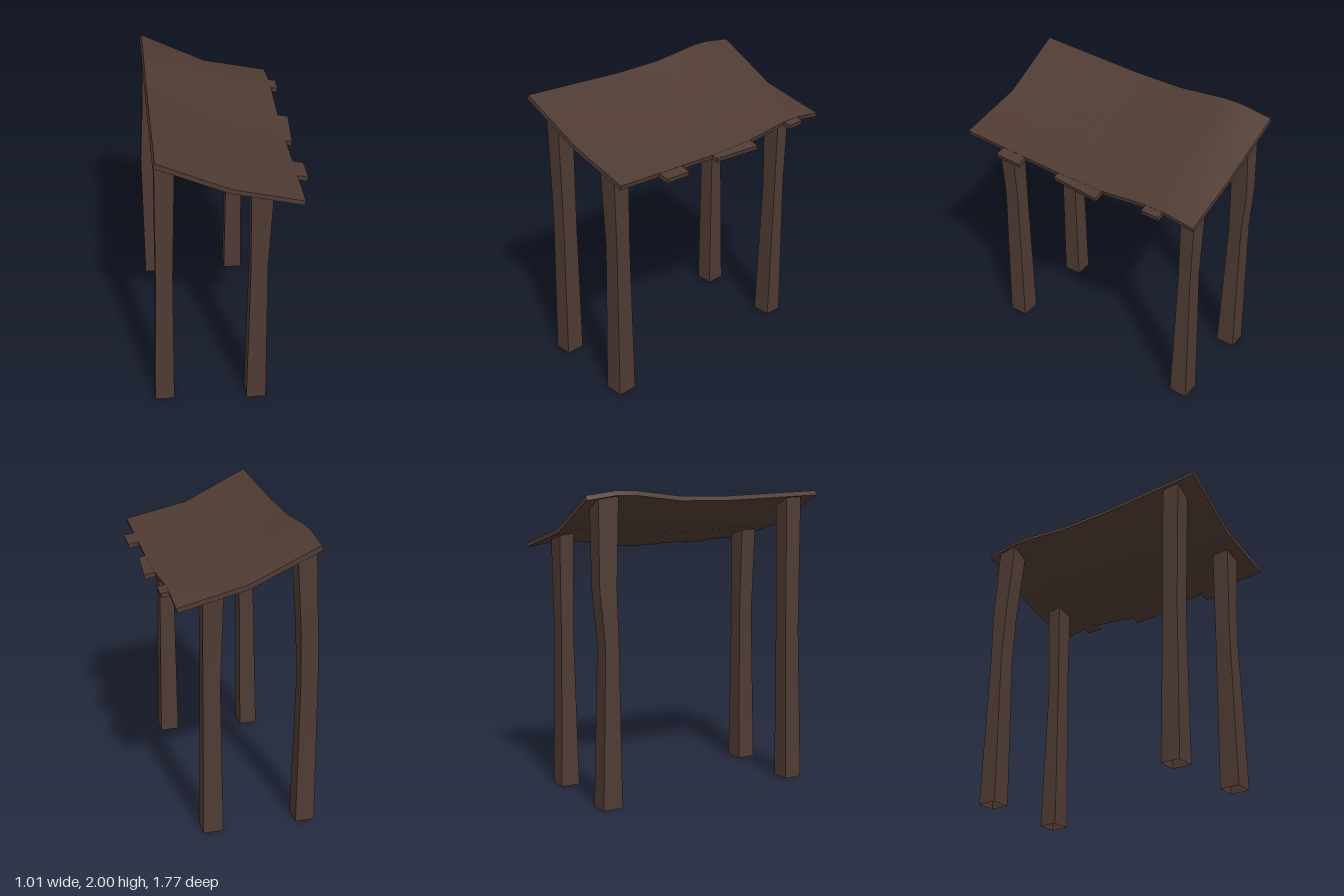
import * as THREE from 'three';
import { toCreasedNormals } from 'three/addons/utils/BufferGeometryUtils.js';

const THICK = 0.03;
// roof cross-section (x, y) and the sag of the roof along z
const PROFILE = [[-0.455, 2.0], [-0.01, 1.785], [0.435, 1.68]];
const SAG = [[-0.885, -0.03], [-0.68, 0], [-0.54, 0], [-0.21, -0.035], [0.15, -0.035], [0.89, 0]];

// piecewise linear lookup, extended past both ends
function lerpTable(table, v) {
  let i = 0;
  while (i < table.length - 2 && v > table[i + 1][0]) i++;
  const [a, b] = [table[i], table[i + 1]];
  return a[1] + (b[1] - a[1]) * (v - a[0]) / (b[0] - a[0]);
}
const roofTop = (x, z) => lerpTable(PROFILE, x) + lerpTable(SAG, z);

// joins matching closed sections with walls, optionally closing both ends
function loft(sections, capped) {
  const pos = [];
  const quad = (a, b, c, d) => pos.push(...a, ...b, ...c, ...a, ...c, ...d);
  const n = sections[0].length;
  for (let s = 0; s < sections.length - 1; s++) {
    const [a, b] = [sections[s], sections[s + 1]];
    for (let i = 0; i < n; i++) quad(a[i], a[(i + 1) % n], b[(i + 1) % n], b[i]);
  }
  if (capped) {
    const [f, l] = [sections[0], sections[sections.length - 1]];
    for (let i = 0; i < n / 2 - 1; i++) {
      const [j, k, m] = [i + 1, n - 2 - i, n - 1 - i];
      quad(f[m], f[k], f[j], f[i]);
      quad(l[i], l[j], l[k], l[m]);
    }
  }
  const g = new THREE.BufferGeometry();
  g.setAttribute('position', new THREE.Float32BufferAttribute(pos, 3));
  return toCreasedNormals(g, 0.6);
}

export function createModel() {
  const group = new THREE.Group();
  const wood = new THREE.MeshStandardMaterial({ color: 0x4f3b33, side: THREE.DoubleSide });
  wood.name = 'dark wood';
  const add = (name, geometry) => {
    const mesh = new THREE.Mesh(geometry, wood);
    mesh.name = name;
    group.add(mesh);
  };

  // sagging roof slab, slightly narrower along its middle
  const shift = [-0.013, -0.01, -0.007];
  add('roof', loft(SAG.map(([z, dy]) => {
    const top = PROFILE.map(([x, y], i) => [x, y + dy, i === 1 ? z * 0.983 : z]);
    const bottom = top.map(([x, y, zz], i) => [x + shift[i], y - THICK, zz]);
    return [...bottom, ...top.reverse()];
  }), true));

  // broken plank ends along the lower eave: [z, outer x] at each end
  const planks = [
    [[-0.67, 0.485], [-0.545, 0.485]],
    [[-0.215, 0.505], [0.13, 0.478]],
    [[0.4, 0.505], [0.585, 0.505]],
  ];
  planks.forEach((ends, i) => add('plankEnd' + (i + 1), loft(ends.map(([z, x1]) => {
    const x0 = 0.41;
    const [y0, y1] = [roofTop(x0, z) - 0.002, roofTop(x1, z)];
    return [[x0, y0 - THICK, z], [x1 - 0.007, y1 - THICK, z], [x1, y1, z], [x0, y0, z]];
  }), true)));

  // crooked hollow posts: rows of [y, x0, x1, z0, z1]; the last row meets the roof
  const posts = {
    frontRightPost: [
      [0, -0.51, -0.38, 0.625, 0.755],
      [1.05, -0.475, -0.365, 0.632, 0.742],
      [null, -0.455, -0.335, 0.64, 0.76]],
    frontLeftPost: [
      [0, 0.115, 0.25, 0.665, 0.8],
      [1.1, 0.13, 0.238, 0.67, 0.777],
      [null, 0.12, 0.258, 0.68, 0.797]],
    backRightPost: [
      [0, -0.51, -0.38, -0.81, -0.675],
      [1.05, -0.505, -0.39, -0.785, -0.69],
      [1.4, -0.482, -0.37, -0.81, -0.69],
      [null, -0.455, -0.335, -0.8, -0.66]],
    backLeftPost: [
      [0, 0.12, 0.255, -0.8, -0.67],
      [1.05, 0.138, 0.25, -0.78, -0.69],
      [null, 0.12, 0.255, -0.79, -0.69]],
  };
  for (const [name, rows] of Object.entries(posts)) {
    add(name, loft(rows.map(([y, x0, x1, z0, z1]) =>
      [[x0, z0], [x0, z1], [x1, z1], [x1, z0]].map(([x, z]) =>
        [x, y ?? roofTop(x, z) - THICK * 0.6, z])), false));
  }
  return group;
}
